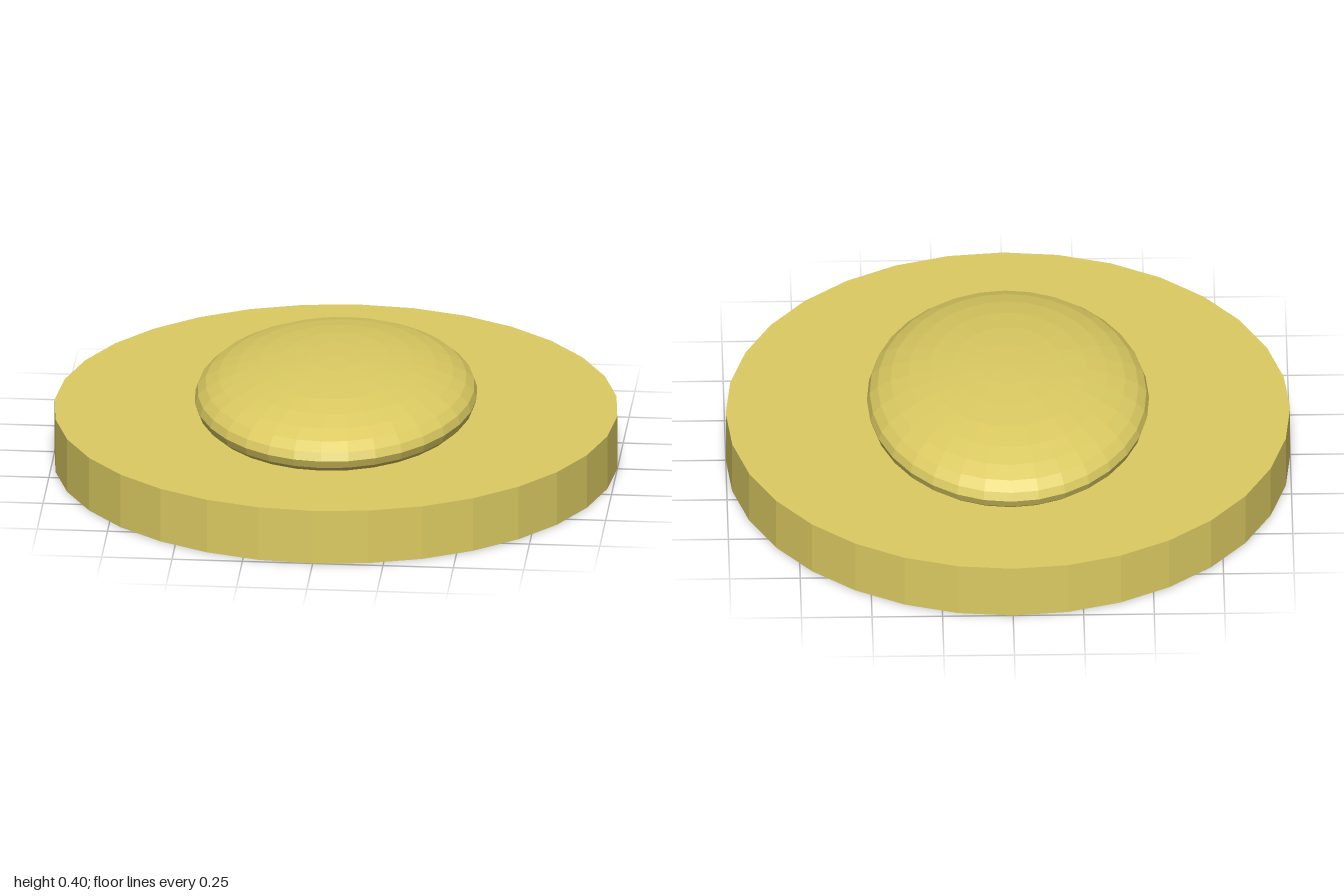
import * as THREE from 'three';

export function createModel() {
  const group = new THREE.Group();
  const material = new THREE.MeshStandardMaterial({ color: 0xdccb62, flatShading: true });

  // Round base plate
  const base = new THREE.Mesh(new THREE.CylinderGeometry(1, 1, 0.2, 32), material);
  base.name = 'base';
  base.position.y = 0.1;

  // Flattened oval dome, partly sunk into the base
  const dome = new THREE.Mesh(new THREE.SphereGeometry(1, 32, 16).scale(0.5, 0.15, 0.65), material);
  dome.name = 'dome';
  dome.position.y = 0.25;

  group.add(base, dome);
  return group;
}
